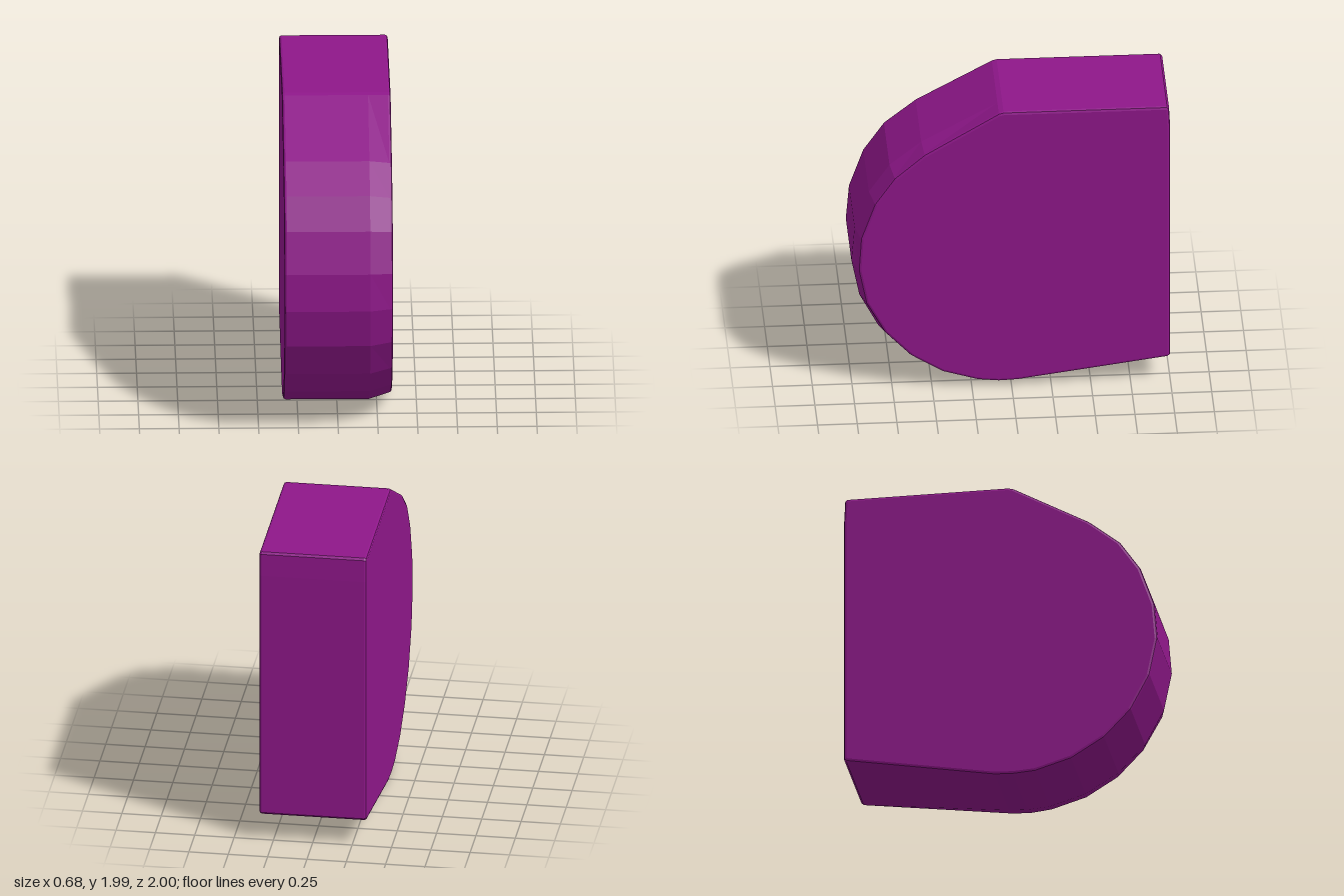
import * as THREE from 'three';

// Side outline as [z, y, chamfer], from the top back corner round the curved front
const outline = [
  [-1, 1.83, 0], [-0.993, 1.975, 0], [-0.98, 1.988, 0],
  [0.05, 1.988, 0], [0.08, 1.98, 0], [0.56, 1.715, 0.02],
  [0.76, 1.555, 0.03], [0.89, 1.365, 0.03], [0.98, 1.11, 0.03],
  [1, 0.87, 0.035], [0.95, 0.62, 0.035], [0.83, 0.39, 0.04],
  [0.66, 0.21, 0.04], [0.45, 0.08, 0.04], [0.22, 0.01, 0.04],
  [0.08, 0, 0.035], [-0.04, 0.005, 0.035], [-0.985, 0.172, 0], [-1, 0.187, 0],
];

// Cross-sections along x: [x, edge bevel, share of the chamfer applied]
const sections = [
  [-0.342, 0.018, 0], [-0.337, 0.005, 0], [-0.325, 0, 0],
  [0.2, 0, 0], [0.325, 0, 1], [0.337, 0.005, 1], [0.342, 0.018, 1],
];

// Inward direction at each outline point, mitred between its two edges
function inwardAt(i) {
  const n = outline.length;
  const p = outline[(i + n - 1) % n], c = outline[i], q = outline[(i + 1) % n];
  const a = new THREE.Vector2(c[1] - p[1], p[0] - c[0]).normalize();
  const b = new THREE.Vector2(q[1] - c[1], c[0] - q[0]).normalize();
  const m = a.clone().add(b).normalize();
  return m.divideScalar(m.dot(a));
}

function slabGeometry() {
  const n = outline.length;
  const pos = [], index = [];
  for (const [x, bevel, share] of sections) {
    outline.forEach(([z, y, chamfer], i) => {
      const d = inwardAt(i).multiplyScalar(bevel + share * chamfer);
      pos.push(x, y + d.y, z + d.x);
    });
  }
  // Rim between neighbouring sections
  for (let s = 0; s < sections.length - 1; s++) {
    for (let i = 0; i < n; i++) {
      const j = (i + 1) % n, a = s * n, b = a + n;
      index.push(a + i, a + j, b + j, a + i, b + j, b + i);
    }
  }
  // Flat side faces
  const last = (sections.length - 1) * n;
  const leftCentre = pos.length / 3, rightCentre = leftCentre + 1;
  pos.push(sections.at(-1)[0], 1, 0, sections[0][0], 1, 0);
  for (let i = 0; i < n; i++) {
    const j = (i + 1) % n;
    index.push(leftCentre, last + i, last + j, rightCentre, j, i);
  }
  const geometry = new THREE.BufferGeometry();
  geometry.setAttribute('position', new THREE.Float32BufferAttribute(pos, 3));
  geometry.setIndex(index);
  const flat = geometry.toNonIndexed();
  flat.computeVertexNormals();
  return flat;
}

export function createModel() {
  const group = new THREE.Group();
  const material = new THREE.MeshStandardMaterial({ color: 0x8e1789, flatShading: true });
  const slab = new THREE.Mesh(slabGeometry(), material);
  slab.name = 'roundedSlab';
  group.add(slab);
  return group;
}
